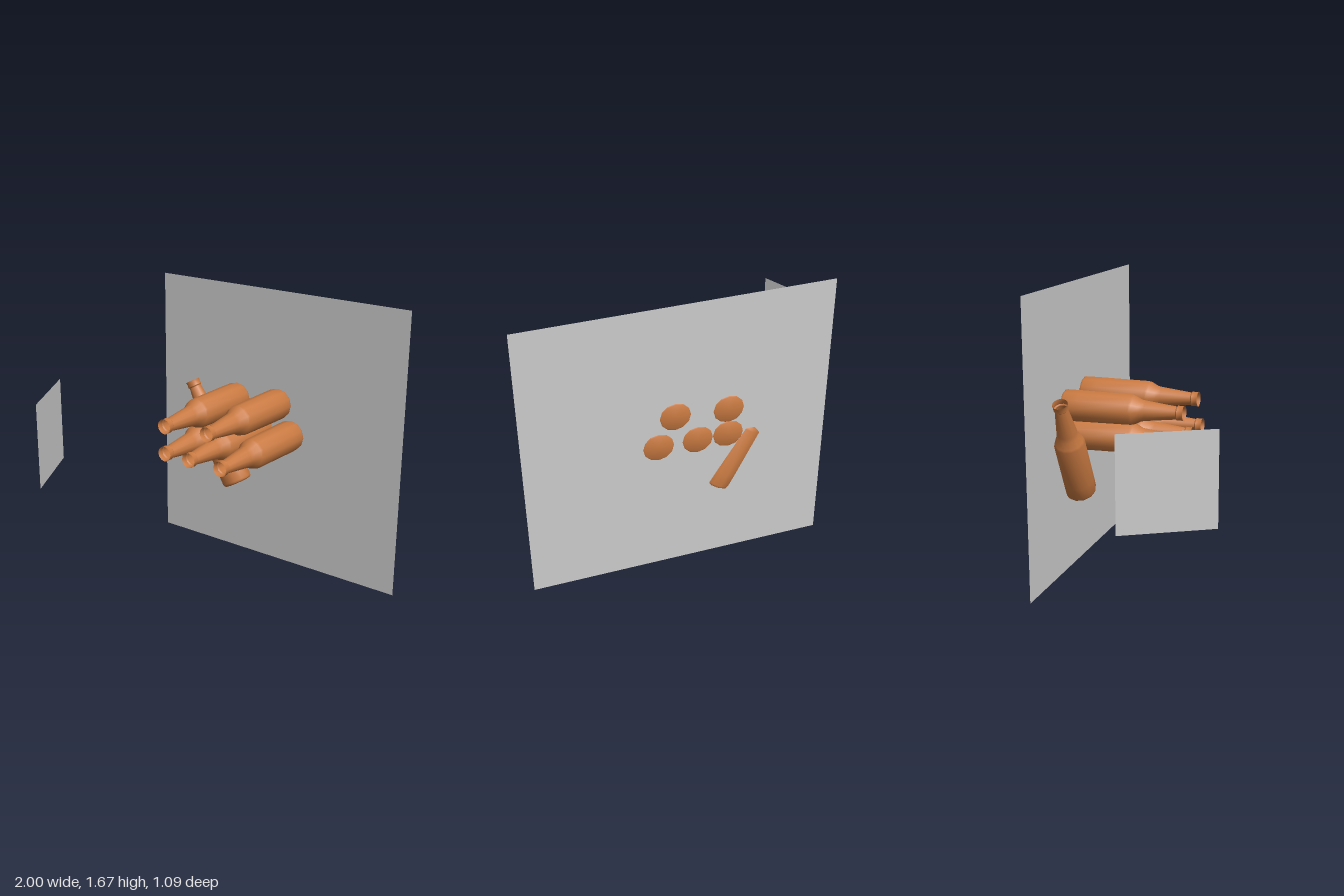
import * as THREE from 'three';
import { toCreasedNormals } from 'three/addons/utils/BufferGeometryUtils.js';

const BOTTLE_LENGTH = 0.707;

// Bottle profile: [radius, height above base], open at the mouth
const PROFILE = [
  [0, 0], [0.079, 0], [0.088, 0.006], [0.092, 0.018], [0.092, 0.1], [0.088, 0.405],
  [0.083, 0.42], [0.063, 0.458], [0.058, 0.49], [0.037, 0.665],
  [0.043, 0.672], [0.041, 0.69], [0.044, 0.707],
];

export function createModel() {
  const model = new THREE.Group();
  const grey = new THREE.MeshStandardMaterial({ color: 0xcccccc, side: THREE.DoubleSide });
  const amber = new THREE.MeshStandardMaterial({ color: 0xc87941, side: THREE.DoubleSide });

  const lathe = new THREE.LatheGeometry(PROFILE.map(([r, y]) => new THREE.Vector2(r, y)), 12);
  const bottleGeometry = toCreasedNormals(lathe, 0.7);

  // Places a bottle between the centre of its base and the centre of its mouth
  function addBottle(name, base, mouth) {
    const from = new THREE.Vector3(...base);
    const axis = new THREE.Vector3(...mouth).sub(from);
    const bottle = new THREE.Mesh(bottleGeometry, amber);
    bottle.name = name;
    bottle.scale.y = axis.length() / BOTTLE_LENGTH;
    bottle.position.copy(from);
    bottle.quaternion.setFromUnitVectors(new THREE.Vector3(0, 1, 0), axis.normalize());
    model.add(bottle);
  }

  // Stacked bottles lying with their mouths to the front
  const stack = [[-0.115, 0.987], [-0.115, 0.825], [0.056, 0.825], [0.18, 1.004], [0.273, 0.825]];
  stack.forEach(([x, y], i) => addBottle(`lyingBottle${i + 1}`, [x, y, -0.52], [x, y, 0.187]));

  // Tilted bottle behind the stack
  addBottle('leaningBottle', [-0.062, 0.465, -0.453], [-0.397, 1.058, -0.432]);

  // Large upright back panel
  const panel = new THREE.Mesh(new THREE.PlaneGeometry(1.675, 1.675), grey);
  panel.name = 'backPanel';
  panel.position.set(0.1625, 0.8375, -0.516);
  model.add(panel);

  // Small upright side panel, turned about the vertical
  const card = new THREE.Mesh(new THREE.PlaneGeometry(0.515, 0.512), grey);
  card.name = 'sidePanel';
  card.position.set(-0.875, 0.828, 0.325);
  card.rotation.y = -Math.atan2(0.447, 0.252);
  model.add(card);

  return model;
}
